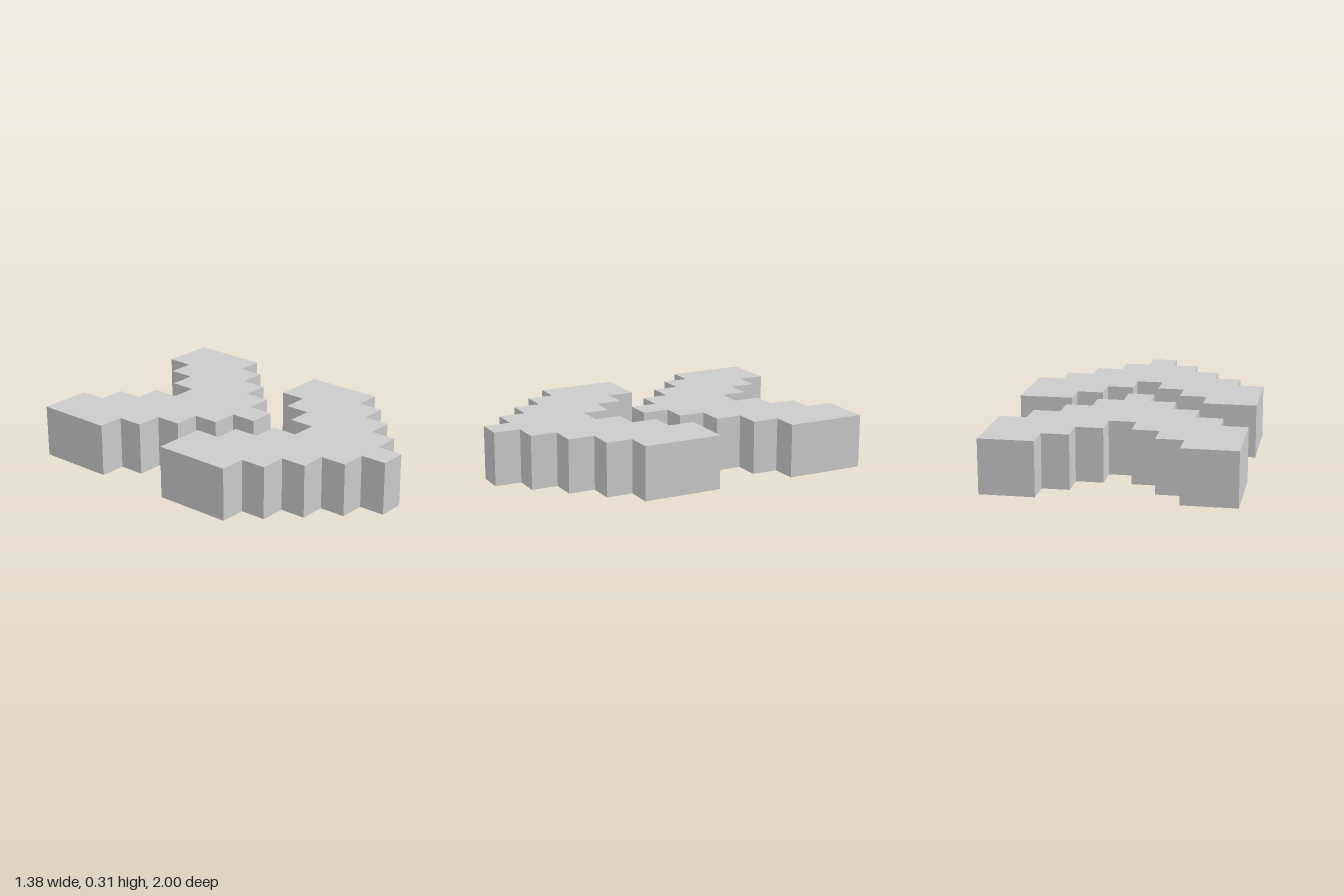
import * as THREE from 'three';

const U = 2 / 13; // side of one grid cell

// Stepped V outline, built from its +x half and mirrored; z runs from 0 (arm ends) to 7 (tip)
function chevronShape() {
  const half = [];
  for (let i = 0; i < 3; i++) half.push([i + 0.5, 3 - i], [i + 0.5, 2 - i]); // inner stairs
  for (let i = 0; i < 5; i++) {
    if (i === 0) half.push([4.5, 0]);
    half.push([4.5 - i, 3 + i]); // outer stairs
    if (i < 4) half.push([3.5 - i, 3 + i]);
  }
  const mirrored = half.map(([x, z]) => [-x, z]).reverse();
  return new THREE.Shape([...half, ...mirrored].map(([x, z]) => new THREE.Vector2(x * U, -z * U)));
}

export function createModel() {
  const group = new THREE.Group();
  group.name = 'doubleChevron';
  const material = new THREE.MeshStandardMaterial({ color: 0xcccccc, flatShading: true });

  // Flat slab two cells thick, laid on the ground with its tip toward the front
  const geometry = new THREE.ExtrudeGeometry(chevronShape(), { depth: 2 * U, bevelEnabled: false });
  geometry.rotateX(-Math.PI / 2);

  // Two equal chevrons, one nested behind the other
  [['backChevron', -1], ['frontChevron', -1 + 6 * U]].forEach(([name, z]) => {
    const chevron = new THREE.Mesh(geometry, material);
    chevron.name = name;
    chevron.position.z = z;
    group.add(chevron);
  });
  return group;
}
